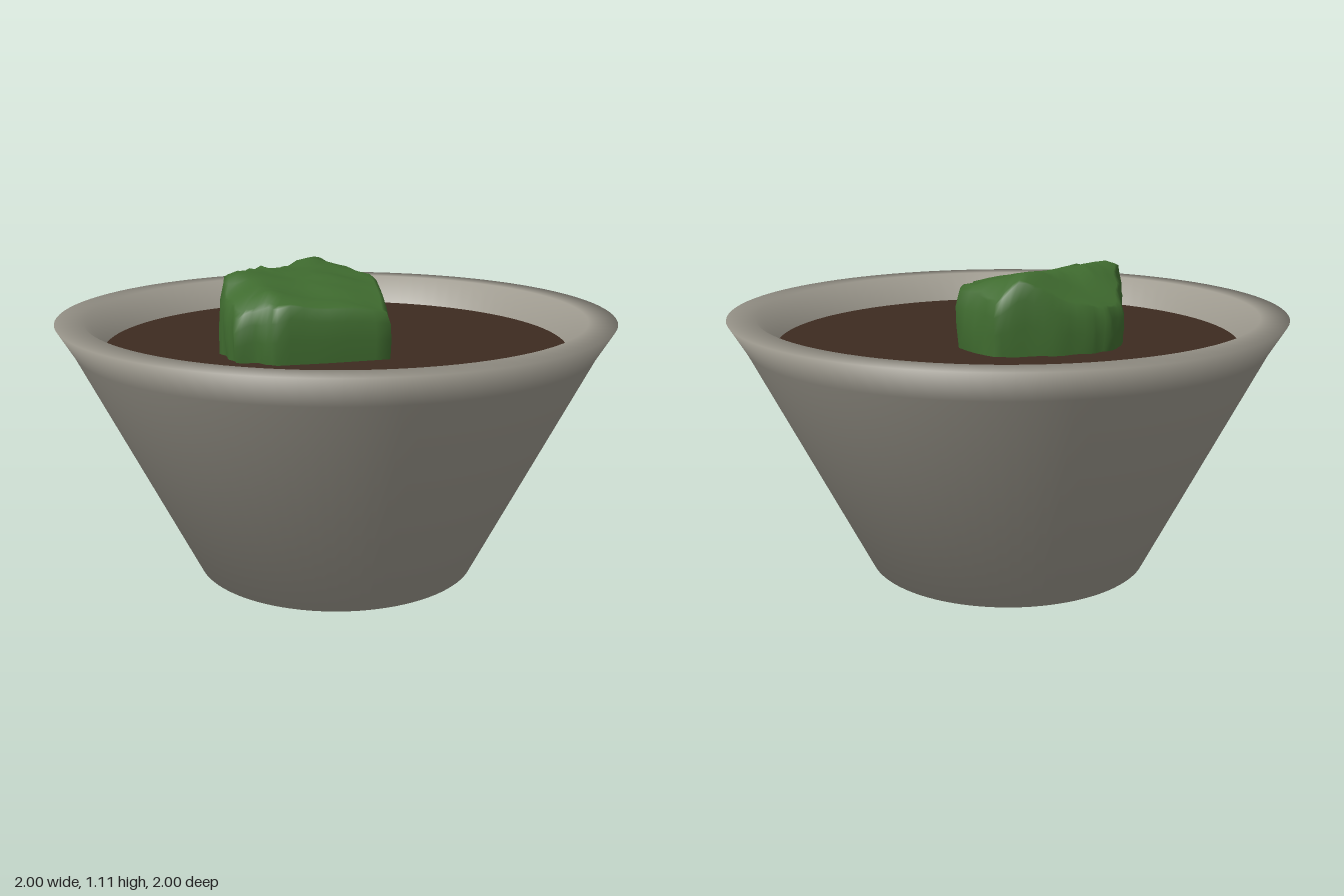
import * as THREE from 'three';

const paint = (name, color) => {
  const m = new THREE.MeshStandardMaterial({ color });
  m.name = name;
  return m;
};

// Leafy clump: outline rings stepping up the wall, then shrinking across a sloping top
function clumpGeometry() {
  const outline = [
    [-0.13, 0.33], [0.05, 0.19], [0.26, 0.0], [0.28, -0.2], [0.2, -0.27], [0.1, -0.35],
    [0.0, -0.4], [-0.07, -0.42], [-0.17, -0.4], [-0.25, -0.33], [-0.31, -0.27], [-0.41, -0.2],
    [-0.45, -0.13], [-0.49, -0.06], [-0.45, 0.0], [-0.44, 0.08], [-0.3, 0.2],
  ];
  const cx = -0.1, cz = -0.08, sub = 4, soilY = 0.83;
  const n = outline.length * sub;
  const height = (x, z) => {
    const slope = 1.105 - 0.22 * (z + 0.22);
    const back = 1.11 - 0.75 * (-0.22 - z);
    const left = 1.08 - 0.8 * (-0.35 - x);
    const right = 1.08 - 1.0 * (x - 0.2);
    const bump = 0.008 * Math.sin(17 * x + 2) * Math.cos(13 * z) + 0.004 * Math.sin(31 * x - 23 * z);
    return Math.min(slope, back, left, right) + bump;
  };
  // Each ring: outline scale, and how far up from soil to the top surface
  const rings = [[0.98, -0.1], [0.99, 0], [1, 0.45], [0.99, 0.8], [0.95, 1], [0.91, 1],
    [0.8, 1], [0.65, 1], [0.5, 1], [0.33, 1], [0.16, 1]];
  const pos = [], index = [];
  rings.forEach(([s, up], r) => {
    for (let i = 0; i < n; i++) {
      const a = outline[Math.floor(i / sub)], b = outline[(Math.floor(i / sub) + 1) % outline.length];
      const t = (i % sub) / sub;
      const ox = a[0] + (b[0] - a[0]) * t, oz = a[1] + (b[1] - a[1]) * t;
      // ragged back and sides, clean front faces
      const ragged = oz < 0.05 && r < 6 ? 0.018 * Math.sin(i * 1.3 + r * 1.1) : 0;
      const x = cx + (ox - cx) * (s + ragged), z = cz + (oz - cz) * (s + ragged);
      pos.push(x, soilY + (height(x, z) - soilY) * up, z);
    }
  });
  pos.push(cx, height(cx, cz), cz);
  const last = rings.length - 1, apex = rings.length * n;
  for (let i = 0; i < n; i++) {
    const j = (i + 1) % n;
    for (let r = 0; r < last; r++) {
      const a = r * n + i, b = r * n + j;
      index.push(a, b, b + n, a, b + n, a + n);
    }
    index.push(last * n + i, last * n + j, apex);
  }
  const g = new THREE.BufferGeometry();
  g.setAttribute('position', new THREE.Float32BufferAttribute(pos, 3));
  g.setIndex(index);
  g.computeVertexNormals();
  return g;
}

export function createModel() {
  const group = new THREE.Group();
  group.name = 'plantedBowl';
  const add = (name, geometry, material) => {
    const mesh = new THREE.Mesh(geometry, material);
    mesh.name = name;
    group.add(mesh);
    return mesh;
  };

  // Tapered bowl with a softly shaded lip
  const profile = [[0, 0], [0.52, 0], [0.94, 0.84], [1, 0.94], [0.9, 0.94], [0.83, 0.82]]
    .map(([x, y]) => new THREE.Vector2(x, y));
  add('bowl', new THREE.LatheGeometry(profile, 96), paint('stone grey', 0x9e9a8f));

  // Flat soil disc inside the lip
  const soil = add('soil', new THREE.CircleGeometry(0.835, 96), paint('soil brown', 0x3d2b20));
  soil.rotation.x = -Math.PI / 2;
  soil.position.y = 0.835;

  // Green clump
  add('leafClump', clumpGeometry(), paint('leaf green', 0x3f6b2f));
  return group;
}
